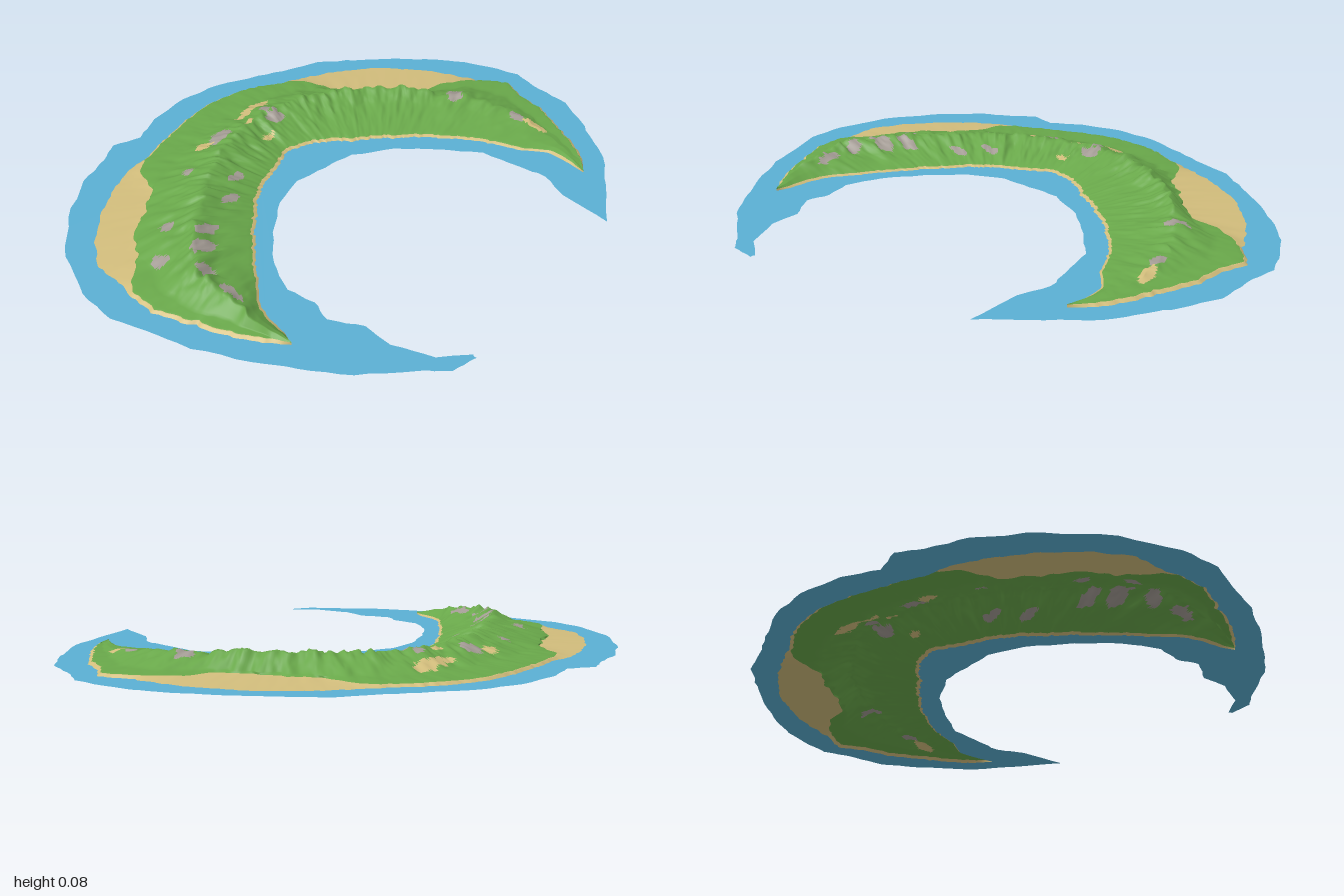
import * as THREE from 'three';

const CZ = 0.1; // centre of the arc the island bends around
const STEPS = 400;

const mat = (name, color) => {
  const m = new THREE.MeshStandardMaterial({ color, side: THREE.DoubleSide });
  m.name = name;
  return m;
};

// Plan outlines as [x, z], running from the left-hand tip (-x) round the back to the +x tip
const waterOuter = [
  [-0.39, 0.84], [-0.48, 0.82], [-0.54, 0.75], [-0.68, 0.62], [-0.77, 0.48], [-0.84, 0.36], [-0.92, 0.19],
  [-0.945, 0.08], [-0.995, -0.09], [-0.98, -0.24], [-0.905, -0.425], [-0.77, -0.585], [-0.61, -0.71],
  [-0.48, -0.757], [-0.4, -0.805], [-0.3, -0.77], [-0.185, -0.826], [-0.02, -0.85], [0.136, -0.826],
  [0.297, -0.757], [0.414, -0.698], [0.537, -0.65], [0.644, -0.548], [0.762, -0.436], [0.864, -0.313],
  [0.928, -0.211], [0.976, -0.078], [0.995, 0.01], [0.96, 0.136], [0.944, 0.27], [0.869, 0.393],
  [0.805, 0.473], [0.725, 0.575], [0.59, 0.67], [0.414, 0.783]];
const waterInner = [
  [0.414, 0.783], [0.44, 0.59], [0.49, 0.484], [0.479, 0.377], [0.463, 0.233], [0.377, 0.104], [0.27, -0.024],
  [0.136, -0.115], [0.013, -0.131], [-0.11, -0.152], [-0.238, -0.11], [-0.372, -0.013], [-0.479, 0.099],
  [-0.543, 0.222], [-0.53, 0.323], [-0.56, 0.404], [-0.505, 0.51], [-0.516, 0.618], [-0.468, 0.75], [-0.385, 0.825]];
const landOuter = [
  [-0.71, 0.4], [-0.78, 0.297], [-0.842, 0.126], [-0.896, -0.013], [-0.872, -0.184], [-0.865, -0.3], [-0.8, -0.41],
  [-0.666, -0.532], [-0.505, -0.623], [-0.345, -0.66], [-0.185, -0.709], [0.013, -0.751], [0.19, -0.72],
  [0.324, -0.644], [0.484, -0.57], [0.644, -0.452], [0.751, -0.318], [0.805, -0.211], [0.848, -0.088],
  [0.912, 0.019], [0.869, 0.11], [0.848, 0.217], [0.778, 0.35], [0.725, 0.447], [0.67, 0.52], [0.6, 0.57]];
const landInner = [
  [-0.71, 0.4], [-0.687, 0.35], [-0.655, 0.217], [-0.56, 0.11], [-0.45, -0.013], [-0.345, -0.115],
  [-0.21, -0.217], [-0.104, -0.254], [0, -0.302], [0.083, -0.275], [0.2, -0.168], [0.324, -0.06],
  [0.43, 0.056], [0.52, 0.2], [0.564, 0.324], [0.618, 0.404], [0.6, 0.57]];
// Upper edge of the two wide beaches; elsewhere it lies beyond the shore
const beachTop = [
  [-0.95, -0.03], [-0.757, -0.238], [-0.69, -0.345], [-0.586, -0.4], [-0.49, -0.479], [-0.45, -0.585],
  [-0.36, -0.67], [0, -0.85], [0.31, -0.66], [0.39, -0.56], [0.414, -0.452], [0.484, -0.37],
  [0.548, -0.265], [0.62, -0.185], [0.725, -0.17], [0.83, -0.08], [0.95, -0.03]];
// Crest line as [x, z, height]
const ridge = [
  [-0.71, 0.4, 0.008], [-0.73, 0.22, 0.05], [-0.73, 0.05, 0.07], [-0.69, -0.04, 0.072], [-0.61, -0.13, 0.074],
  [-0.45, -0.26, 0.068], [-0.29, -0.38, 0.072], [-0.13, -0.44, 0.07], [0.056, -0.475, 0.068], [0.243, -0.42, 0.07],
  [0.4, -0.33, 0.07], [0.537, -0.185, 0.072], [0.6, -0.09, 0.052], [0.645, -0.03, 0.066], [0.68, 0.08, 0.045],
  [0.71, 0.23, 0.035], [0.7, 0.33, 0.016], [0.6, 0.57, 0.007]];
// Foot of the seaward slope
const slopeFoot = [
  [-0.71, 0.4], [-0.77, 0.2], [-0.82, 0], [-0.78, -0.12], [-0.75, -0.22], [-0.69, -0.33], [-0.58, -0.4],
  [-0.48, -0.47], [-0.33, -0.54], [-0.13, -0.58], [0.1, -0.6], [0.25, -0.56], [0.36, -0.5], [0.41, -0.44],
  [0.48, -0.36], [0.54, -0.26], [0.62, -0.17], [0.75, -0.08], [0.8, 0.02], [0.77, 0.2], [0.74, 0.32], [0.6, 0.57]];
// Bare patches as [x, z, radius x, radius z]
const rockPatches = [
  [-0.62, -0.08, 0.05, 0.025], [-0.55, -0.14, 0.04, 0.02], [-0.62, -0.25, 0.025, 0.025], [-0.36, -0.22, 0.035, 0.018],
  [-0.15, -0.505, 0.05, 0.03], [-0.37, -0.43, 0.02, 0.02], [0.08, -0.44, 0.04, 0.03], [0.08, -0.5, 0.02, 0.02],
  [0.645, -0.04, 0.04, 0.035], [-0.735, -0.16, 0.025, 0.03], [0.7, 0.21, 0.018, 0.03], [-0.7, 0.13, 0.02, 0.045],
  [-0.27, -0.29, 0.035, 0.015], [-0.69, 0.01, 0.025, 0.03]];
const sandPatches = [
  [0.1, -0.57, 0.055, 0.03], [0.02, -0.55, 0.04, 0.015], [-0.22, -0.515, 0.035, 0.022], [-0.01, -0.39, 0.03, 0.012],
  [-0.01, -0.485, 0.03, 0.012], [0.71, 0.285, 0.022, 0.04]];

// Seeded value noise in -1..1
const hash = (i, j) => {
  const s = Math.sin(i * 127.1 + j * 311.7) * 43758.5453;
  return (s - Math.floor(s)) * 2 - 1;
};
function noise(x, y) {
  const i = Math.floor(x), j = Math.floor(y);
  const u = THREE.MathUtils.smoothstep(x - i, 0, 1), v = THREE.MathUtils.smoothstep(y - j, 0, 1);
  const mix = THREE.MathUtils.lerp;
  return mix(mix(hash(i, j), hash(i + 1, j), u), mix(hash(i, j + 1), hash(i + 1, j + 1), u), v);
}

// Turns a line into a lookup: angle -> [radius, height]
const angleOf = ([x, z]) => Math.atan2(x, CZ - z);
function polar(points) {
  const rows = points.map(p => [angleOf(p), Math.hypot(p[0], p[1] - CZ), p[2] || 0]);
  return a => {
    let k = 1;
    while (k < rows.length - 1 && rows[k][0] < a) k++;
    const [p, q] = [rows[k - 1], rows[k]];
    const t = THREE.MathUtils.clamp((a - p[0]) / (q[0] - p[0]), 0, 1);
    return [p[1] + (q[1] - p[1]) * t, p[2] + (q[2] - p[2]) * t];
  };
}

const inPatch = (list, x, z) => list.some(([px, pz, rx, rz]) =>
  Math.hypot((x - px) / rx, (z - pz) / rz) < 1 + 0.35 * noise(x * 60, z * 60));

function buildLand() {
  const [outer, inner, beach, crest, foot] = [landOuter, landInner, beachTop, ridge, slopeFoot].map(polar);
  const a0 = angleOf(landOuter[0]), a1 = angleOf(landOuter[landOuter.length - 1]);
  const bands = [1, 8, 6, 10, 6, 4]; // rows: shore, inner slope, cliff, seaward slope, flat, beach
  const pos = [], rowBand = [], shoreIn = [], shoreOut = [];
  bands.forEach((n, b) => { for (let k = 0; k < n; k++) rowBand.push(b); });
  const cols = rowBand.length + 1;

  for (let i = 0; i <= STEPS; i++) {
    const a = a0 + (a1 - a0) * i / STEPS;
    const ri = inner(a)[0], edge = outer(a)[0], full = Math.max(edge - ri, 0);
    const fade = Math.min(1, full / 0.15);
    const r0 = ri + 0.005 * fade * noise(a * 45, 3), r6 = ri + full + 0.005 * fade * noise(a * 45, 9);
    const inset = Math.min(0.012, full * 0.15);
    const r1 = r0 + inset;
    const r5 = Math.max(r1, Math.min(r6 - inset, beach(a)[0] + 0.008 * noise(a * 30, 5)));
    const [cr, ch] = crest(a);
    const r3 = THREE.MathUtils.clamp(cr + 0.012 * fade * noise(a * 22, 1), r1 + (r5 - r1) * 0.2, r1 + (r5 - r1) * 0.9);
    const r2 = r3 - Math.min(0.07 + 0.02 * noise(a * 14, 7), (r3 - r1) * 0.5);
    const r4 = THREE.MathUtils.clamp(foot(a)[0] + 0.015 * noise(a * 20, 2), r3 + (r5 - r3) * 0.4, r5);
    const radii = [r0, r1, r2, r3, r4, r5, r6];
    const heights = [0, 0.006, 0.007 + ch * 0.45, ch, Math.min(0.016, 0.006 + ch * 0.15), 0.009, 0];
    for (let j = 0, k = 0; j < cols; j++) {
      const b = j < cols - 1 ? rowBand[j] : 5;
      k = j && rowBand[j] === rowBand[j - 1] ? k + 1 : j < cols - 1 ? 0 : bands[5];
      const t = k / bands[b];
      const r = THREE.MathUtils.lerp(radii[b], radii[b + 1], t);
      let y = THREE.MathUtils.lerp(heights[b], heights[b + 1], t);
      // gullies and bumps grow with height
      y += y * fade * (0.13 * noise(a * 28, r * 16) + 0.07 * noise(a * 60, r * 40));
      pos.push(r * Math.sin(a), Math.min(y, 0.078), CZ - r * Math.cos(a));
    }
    shoreIn.push([r0 * Math.sin(a), CZ - r0 * Math.cos(a)]);
    shoreOut.push([r6 * Math.sin(a), CZ - r6 * Math.cos(a)]);
  }

  // Sort the faces by ground cover: grass, sand, rock
  const cover = [[], [], []];
  for (let i = 0; i < STEPS; i++) for (let j = 0; j < cols - 1; j++) {
    const p = i * cols + j, q = p + cols;
    for (const tri of [[p, q, p + 1], [q, q + 1, p + 1]]) {
      const x = tri.reduce((s, v) => s + pos[v * 3] / 3, 0), z = tri.reduce((s, v) => s + pos[v * 3 + 2] / 3, 0);
      const sandy = rowBand[j] === 0 || rowBand[j] === 5 || inPatch(sandPatches, x, z);
      cover[sandy ? 1 : inPatch(rockPatches, x, z) ? 2 : 0].push(...tri);
    }
  }
  const geo = new THREE.BufferGeometry();
  geo.setAttribute('position', new THREE.Float32BufferAttribute(pos, 3));
  geo.setIndex(cover.flat());
  let start = 0;
  cover.forEach((c, m) => { geo.addGroup(start, c.length, m); start += c.length; });
  geo.computeVertexNormals();
  return { geo, shore: [...shoreIn, ...shoreOut.reverse()] };
}

// Flat ring of shallows with the island cut out
function buildWater(shore) {
  const ragged = line => line.flatMap((p, i) => {
    const q = line[i + 1];
    if (!q) return [];
    return [0, 1, 2, 3].map(k => {
      const x = THREE.MathUtils.lerp(p[0], q[0], k / 4), z = THREE.MathUtils.lerp(p[1], q[1], k / 4);
      const s = k ? 0.005 : 0;
      return [x + s * noise(x * 70, z * 70), z + s * noise(z * 70, x * 70)];
    });
  });
  const v2 = ([x, z]) => new THREE.Vector2(x, -z);
  const shape = new THREE.Shape([...ragged(waterOuter), ...ragged([...waterInner, waterOuter[0]])].map(v2));
  shape.holes.push(new THREE.Path(shore.map(v2)));
  return new THREE.ShapeGeometry(shape).rotateX(-Math.PI / 2);
}

export function createModel() {
  const group = new THREE.Group();
  group.name = 'crescentIsland';
  const { geo, shore } = buildLand();
  const land = new THREE.Mesh(geo, [mat('grass', 0x69a84a), mat('sand', 0xd2bd7c), mat('rock', 0xa39b94)]);
  land.name = 'land';
  const water = new THREE.Mesh(buildWater(shore), mat('shallowWater', 0x5bb0d4));
  water.name = 'shallowWater';
  group.add(land, water);
  return group;
}
